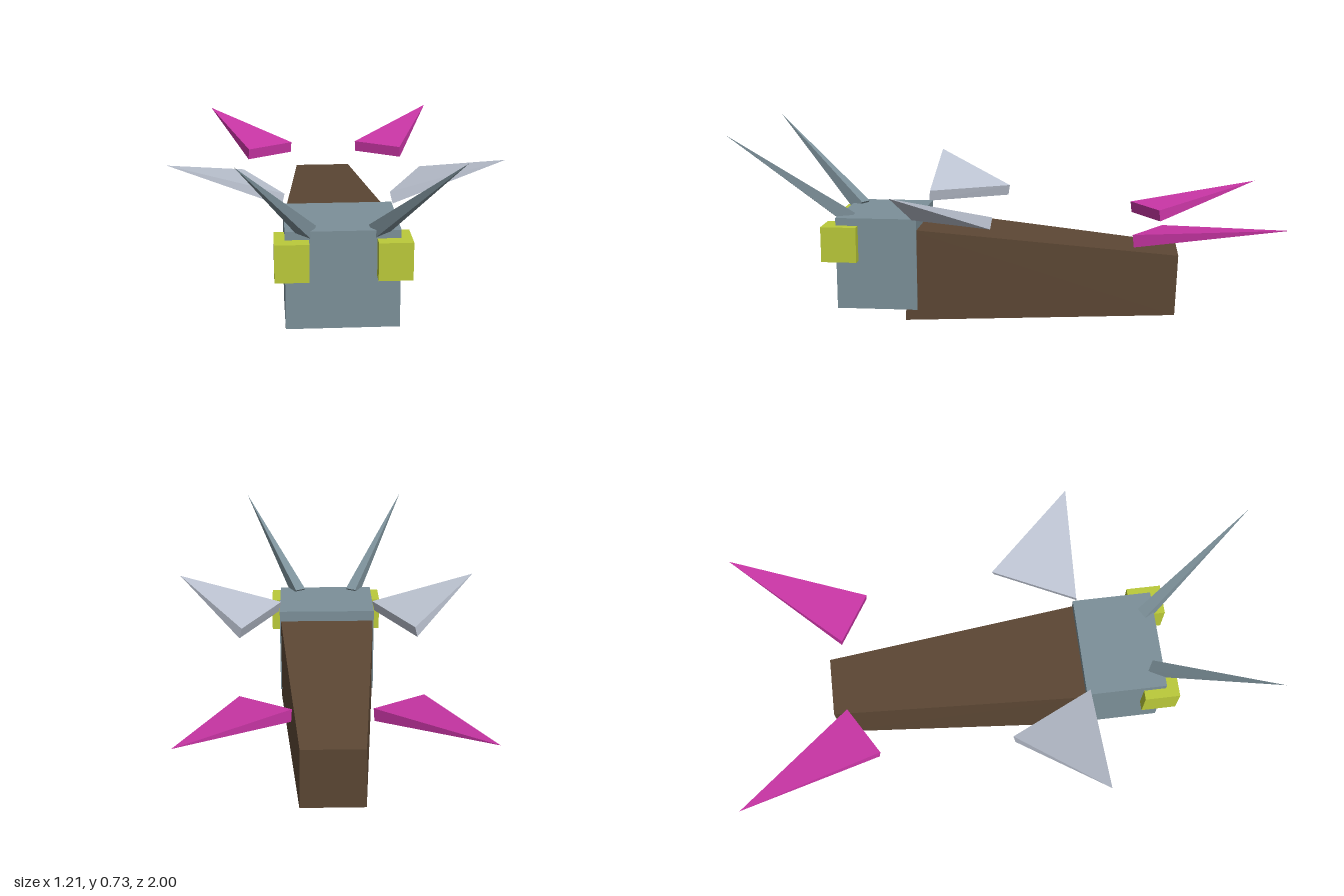
import * as THREE from 'three';
import { ConvexGeometry } from 'three/addons/geometries/ConvexGeometry.js';

const flat = (name, color) => {
  const m = new THREE.MeshStandardMaterial({ color, flatShading: true });
  m.name = name;
  return m;
};

export function createModel() {
  const group = new THREE.Group();
  const slate = flat('slate', 0x7c9099);
  const brown = flat('brown', 0x5c4734);
  const lime = flat('lime', 0xbbca3a);
  const silver = flat('silver', 0xbdc4d2);
  const magenta = flat('magenta', 0xca36a6);

  const add = (name, geometry, material) => {
    const mesh = new THREE.Mesh(geometry, material);
    mesh.name = name;
    group.add(mesh);
    return mesh;
  };
  const hull = (points) => new ConvexGeometry(points.map((p) => new THREE.Vector3(...p)));

  // Head block
  add('head', new THREE.BoxGeometry(0.394, 0.353, 0.31), slate).position.set(0, 0.218, 0.49);

  // Body tapering towards the tail
  const body = [];
  for (const s of [-1, 1]) {
    body.push([s * 0.195, 0, 0.38], [s * 0.195, 0.355, 0.37],
      [s * 0.118, 0.025, -0.643], [s * 0.115, 0.257, -0.652]);
  }
  add('body', hull(body), brown);

  for (const s of [1, -1]) {
    const side = s > 0 ? 'left' : 'right';
    const spike = (name, base, tip, material) =>
      add(side + name, hull([...base, tip].map(([x, y, z]) => [s * x, y, z])), material);

    // Eye block
    add(side + 'Eye', new THREE.BoxGeometry(0.118, 0.135, 0.135), lime)
      .position.set(s * 0.175, 0.298, 0.627);

    // Antenna: thin square spike leaning forwards and out
    spike('Antenna', [
      [0.09, 0.402, 0.606], [0.13, 0.402, 0.583],
      [0.105, 0.362, 0.638], [0.145, 0.362, 0.615],
    ], [0.35, 0.725, 1], slate);

    // Front wing: thick inner edge drawn out to a raised tip
    spike('FrontWing', [
      [0.19, 0.435, 0.345], [0.2, 0.392, 0.35],
      [0.34, 0.438, 0.03], [0.35, 0.395, 0.037],
    ], [0.605, 0.55, 0.353], silver);

    // Rear wing: thick leading edge drawn out to a point behind
    spike('RearWing', [
      [0.14, 0.38, -0.587], [0.143, 0.335, -0.592],
      [0.325, 0.38, -0.475], [0.328, 0.335, -0.48],
    ], [0.505, 0.445, -1], magenta);
  }
  return group;
}
